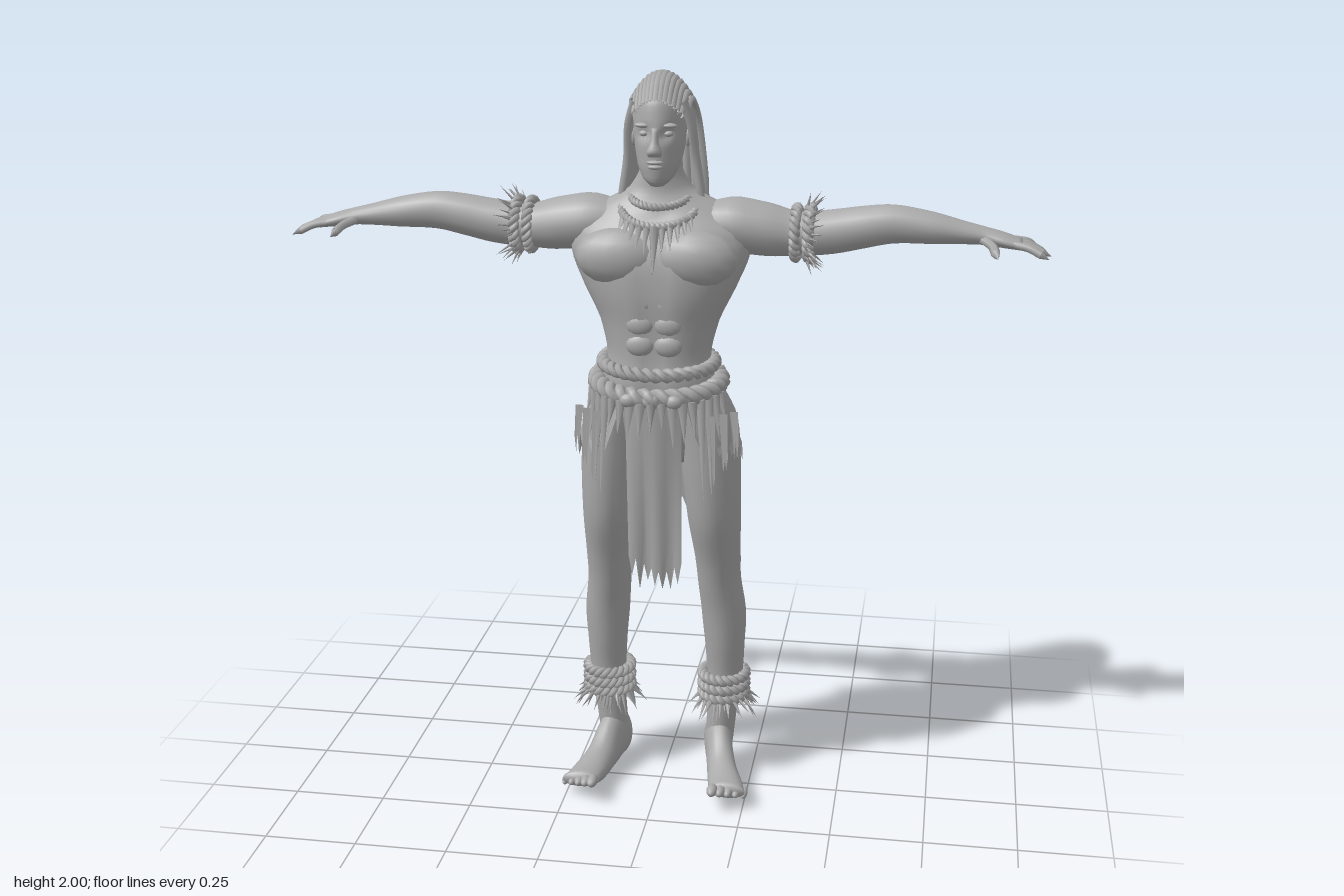
import * as THREE from 'three';
import { mergeGeometries } from 'three/addons/utils/BufferGeometryUtils.js';

const stone = new THREE.MeshStandardMaterial({ color: 0xaaaaaa, side: THREE.DoubleSide });
stone.name = 'stone grey';
const V = (x, y, z) => new THREE.Vector3(x, y, z);

let seed = 7;
const rnd = () => (seed = (seed * 16807) % 2147483647) / 2147483647;

function build(pos, idx) {
  const g = new THREE.BufferGeometry();
  g.setAttribute('position', new THREE.Float32BufferAttribute(pos, 3));
  g.setIndex(idx);
  g.computeVertexNormals();
  return g;
}

// Join pieces, keeping only position and normal
const merge = gs => mergeGeometries(gs.map(g => g.deleteAttribute('uv')));

// Smooth skin over elliptical rings [x, y, z, radius1, radius2] stacked along an axis
function loft(axis, rings, warp, seg = 20, sub = 4) {
  const centre = new THREE.CatmullRomCurve3(rings.map(r => V(r[0], r[1], r[2])));
  const radii = new THREE.CatmullRomCurve3(rings.map(r => V(r[3], r[4], 0)));
  const rows = (rings.length - 1) * sub, pos = [], idx = [], p = V(0, 0, 0);
  for (let i = 0; i <= rows; i++) {
    const c = centre.getPoint(i / rows), r = radii.getPoint(i / rows);
    for (let j = 0; j < seg; j++) {
      const a = j / seg * Math.PI * 2, co = Math.cos(a), si = Math.sin(a);
      if (axis === 'y') p.set(co * r.x, 0, si * r.y);
      else if (axis === 'x') p.set(0, si * r.x, co * r.y);
      else p.set(si * r.x, co * r.y, 0);
      p.add(c);
      if (warp) warp(p);
      pos.push(p.x, p.y, p.z);
      if (i < rows) {
        const q = i * seg + j, n = i * seg + (j + 1) % seg;
        idx.push(q, q + seg, n, n, q + seg, n + seg);
      }
    }
  }
  const a = pos.length / 3, e = rows * seg;
  pos.push(...centre.getPoint(0).toArray(), ...centre.getPoint(1).toArray());
  for (let j = 0; j < seg; j++) idx.push(a, j, (j + 1) % seg, a + 1, e + (j + 1) % seg, e + j);
  return build(pos, idx);
}

const ball = (x, y, z, a, b, c) => new THREE.SphereGeometry(1, 14, 10).scale(a, b, c).translate(x, y, z);
const tube = (pts, r, n = 16, closed = false) =>
  new THREE.TubeGeometry(new THREE.CatmullRomCurve3(pts, closed), n, r, 6, closed);

function spike(base, tip, r) {
  const d = tip.clone().sub(base), len = d.length();
  return new THREE.ConeGeometry(r, len, 5).translate(0, len / 2, 0)
    .applyQuaternion(new THREE.Quaternion().setFromUnitVectors(V(0, 1, 0), d.normalize()))
    .translate(base.x, base.y, base.z);
}

// Tapered lock or finger: a tube closed with a pointed tip
function lock(pts, r, n = 16) {
  const e = pts[pts.length - 1], b = pts[pts.length - 2], d = e.clone().sub(b).normalize();
  return merge([tube(pts, r, n), spike(e, e.clone().addScaledVector(d, r * 2.5), r)]);
}

// Two strands twisted around a closed loop
function rope(at, r, turns, n = 96) {
  return merge([0, Math.PI].map(ph => tube(Array.from({ length: n }, (_, i) => {
    const t = i / n * Math.PI * 2, w = t * turns + ph;
    return at(t, r * 0.7 * Math.cos(w), r * 0.7 * Math.sin(w));
  }), r * 0.75, n * 2, true)));
}

// Torn cloth between a top edge and a ragged bottom edge
function cloth(n, top, bottom, jag) {
  const pos = [], idx = [], rows = 6;
  for (let i = 0; i <= n; i++) {
    const a = top(i / n), b = bottom(i / n);
    b.y += (i % 2 ? -1 : 0.6) * jag * (0.3 + rnd());
    for (let k = 0; k <= rows; k++) {
      const p = a.clone().lerp(b, k / rows);
      pos.push(p.x, p.y, p.z);
      const q = i * (rows + 1) + k;
      if (i < n && k < rows) idx.push(q, q + 1, q + rows + 1, q + 1, q + rows + 2, q + rows + 1);
    }
  }
  return build(pos, idx);
}

function mirrored(g) {
  const m = g.clone().scale(-1, 1, 1), ix = m.index.array;
  for (let i = 0; i < ix.length; i += 3) [ix[i], ix[i + 1]] = [ix[i + 1], ix[i]];
  return m;
}

export function createModel() {
  const model = new THREE.Group();
  const add = (name, ...gs) => {
    const mesh = new THREE.Mesh(merge(gs), stone);
    mesh.name = name;
    model.add(mesh);
  };
  const pair = (name, ...gs) => {
    add('left' + name, ...gs);
    add('right' + name, ...gs.map(mirrored));
  };

  // Torso and neck, with a groove down the middle
  add('torso', loft('y', [
    [0, 0.98, 0, 0.12, 0.09], [0, 1.1, 0.015, 0.165, 0.11], [0, 1.2, 0.03, 0.155, 0.11],
    [0, 1.27, 0.033, 0.138, 0.103], [0, 1.36, 0.025, 0.157, 0.115], [0, 1.45, 0.022, 0.2, 0.125],
    [0, 1.54, 0.015, 0.235, 0.122], [0, 1.6, 0, 0.235, 0.11], [0, 1.655, -0.012, 0.17, 0.082],
    [0, 1.7, -0.008, 0.085, 0.062], [0, 1.75, 0, 0.056, 0.055], [0, 1.82, 0, 0.052, 0.055]
  ], p => { if (p.y < 1.65) p.z *= 1 - 0.1 * Math.exp(-((p.x / 0.025) ** 2)); }, 32));
  pair('Pectoral', ball(0.1, 1.535, 0.09, 0.112, 0.075, 0.06));
  pair('Abdominals', ...[1.31, 1.365, 1.42].map(y => ball(0.037, y, 0.122, 0.037, 0.03, 0.018)));

  // Arms, hands and fingers
  pair('Arm', loft('x', [
    [0.1, 1.62, -0.01, 0.04, 0.06], [0.2, 1.608, -0.012, 0.072, 0.078], [0.28, 1.597, -0.015, 0.069, 0.072],
    [0.36, 1.588, -0.02, 0.057, 0.06], [0.45, 1.597, -0.018, 0.058, 0.056], [0.53, 1.612, -0.015, 0.055, 0.052],
    [0.6, 1.622, -0.012, 0.05, 0.046], [0.7, 1.615, -0.012, 0.041, 0.044], [0.78, 1.605, -0.015, 0.029, 0.037],
    [0.83, 1.598, -0.018, 0.023, 0.035], [0.88, 1.588, -0.02, 0.019, 0.046], [0.925, 1.578, -0.02, 0.013, 0.046]]));
  const fingers = [0.97, 0.975, 0.97, 0.955].map((end, i) => {
    const z = 0.015 - i * 0.024, out = (1.5 - i) * 0.006;
    return lock([V(0.9, 1.584, z), V(0.94, 1.577, z + out), V(end, 1.563, z + out * 2)], 0.01, 8);
  });
  pair('Fingers', ...fingers, lock([V(0.82, 1.594, 0), V(0.85, 1.582, 0.045), V(0.857, 1.572, 0.08)], 0.012, 8));

  // Legs and feet
  pair('Leg', loft('y', [
    [0.152, 0.08, -0.1, 0.04, 0.05], [0.162, 0.2, -0.093, 0.043, 0.052], [0.168, 0.3, -0.093, 0.05, 0.056],
    [0.168, 0.4, -0.085, 0.056, 0.067], [0.165, 0.5, -0.078, 0.062, 0.077], [0.155, 0.6, -0.056, 0.06, 0.078],
    [0.152, 0.68, -0.038, 0.063, 0.083], [0.145, 0.8, -0.01, 0.072, 0.098], [0.137, 0.95, 0.003, 0.08, 0.108],
    [0.125, 1.08, 0.01, 0.083, 0.112], [0.1, 1.18, 0.02, 0.065, 0.1]]));
  const toes = [0, 1, 2, 3, 4].map(i =>
    ball(0.168 + i * 0.021, 0.062 - i * 0.006, 0.168 - i * 0.011, 0.015 - i * 0.0012, 0.015 - i * 0.001, 0.028));
  pair('Foot', loft('z', [
    [0.143, 0.045, -0.152, 0.02, 0.035], [0.148, 0.08, -0.115, 0.042, 0.08], [0.158, 0.08, -0.055, 0.04, 0.08],
    [0.176, 0.052, 0.02, 0.042, 0.05], [0.195, 0.044, 0.09, 0.049, 0.034], [0.207, 0.052, 0.15, 0.05, 0.02]
  ], p => { p.y = Math.max(p.y, 0); }), ...toes);

  // Head and face
  add('head', loft('y', [
    [0, 1.718, 0.065, 0.018, 0.025], [0, 1.735, 0.052, 0.038, 0.05], [0, 1.77, 0.032, 0.055, 0.077],
    [0, 1.82, 0.017, 0.065, 0.093], [0, 1.86, 0.008, 0.069, 0.1], [0, 1.92, -0.003, 0.071, 0.102],
    [0, 1.962, -0.01, 0.056, 0.083], [0, 1.985, -0.012, 0.015, 0.025]
  ], p => { if (p.z > 0.05) p.z -= 0.016 * Math.exp(-(((Math.abs(p.x) - 0.03) / 0.016) ** 2) - ((p.y - 1.852) / 0.014) ** 2); }, 32));
  add('nose', loft('y', [[0, 1.797, 0.108, 0.017, 0.012], [0, 1.81, 0.112, 0.02, 0.019],
    [0, 1.835, 0.108, 0.01, 0.014], [0, 1.868, 0.1, 0.009, 0.01]], null, 10, 3));
  add('lips', ball(0, 1.782, 0.105, 0.022, 0.006, 0.011), ball(0, 1.77, 0.102, 0.02, 0.007, 0.011));
  add('chin', ball(0, 1.738, 0.082, 0.024, 0.018, 0.02));
  pair('EyeAndBrow', ball(0.03, 1.852, 0.083, 0.014, 0.008, 0.011), ball(0.031, 1.873, 0.089, 0.024, 0.007, 0.012));
  pair('Ear', ball(0.07, 1.835, 0, 0.01, 0.027, 0.018));

  // Long locks over the crown and down the back
  const crown = [], sides = [];
  for (let i = 0; i < 15; i++) {
    const u = i / 7 - 1, q = 1 - u * u, w = (rnd() - 0.5) * 0.01;
    crown.push(lock([V(u * 0.066, 1.885 + 0.045 * q, 0.04 + 0.052 * Math.sqrt(q)), V(u * 0.072, 1.925 + 0.056 * q, 0.045 * q),
      V(u * 0.075, 1.915 + 0.067 * q, -0.045), V(u * 0.083, 1.87 + 0.025 * q, -0.075 - 0.037 * q),
      V(u * 0.095 + w, 1.72, -0.092 - 0.037 * q), V(u * 0.11 - w, 1.6, -0.105 - 0.038 * q),
      V(u * 0.115 + w, 1.555 - 0.015 * q + rnd() * 0.035, -0.115 - 0.03 * q)], 0.0115, 30));
  }
  for (let i = 0; i < 7; i++) {
    const t = i / 6, z = 0.035 - t * 0.11, o = t * 0.012;
    sides.push(lock([V(0.062, 1.93, z + 0.015), V(0.08 - o, 1.87, z), V(0.088 - o, 1.78, z - 0.025),
      V(0.102 - o, 1.69, z - 0.03), V(0.115 - o, 1.59 + rnd() * 0.06, z * 0.8 - 0.03)], 0.0105, 20));
  }
  add('crownLocks', ...crown);
  pair('SideLocks', ...sides);

  // Necklaces with teeth
  const collar = (rx, yb, yf, zf) => (t, a, b) =>
    V((rx + a) * Math.cos(t), (yb + yf) / 2 - (yb - yf) / 2 * Math.sin(t) + b, (zf - 0.07) / 2 + ((zf + 0.07) / 2 + a) * Math.sin(t));
  const inner = collar(0.078, 1.71, 1.665, 0.085), outer = collar(0.1, 1.705, 1.62, 0.115);
  add('necklaces', rope(inner, 0.008, 20), rope(outer, 0.009, 24));
  const teeth = [];
  for (let i = -5; i <= 5; i++) {
    const p = outer(Math.PI / 2 + i * 0.2, 0, 0), len = i ? 0.075 - Math.abs(i) * 0.007 : 0.13;
    teeth.push(spike(p, V(p.x * 1.15, p.y - len, p.z + 0.035), i ? 0.011 : 0.015));
  }
  add('necklaceTeeth', ...teeth);

  // Twisted belts and hanging charms
  const waist = (y, rx, rz, tilt) => (t, a, b) => V((rx + a) * Math.cos(t), y - tilt * Math.sin(t) + b, 0.042 + (rz + a) * Math.sin(t));
  const lower = waist(1.2, 0.163, 0.122, 0.02);
  add('belts', rope(waist(1.25, 0.147, 0.11, 0.012), 0.014, 16), rope(lower, 0.019, 14));
  const charms = [];
  for (let i = -8; i <= 8; i++) {
    const p = lower(Math.PI / 2 + i * 0.16, 0.012, -0.012), long = Math.abs(i) === 5 || Math.abs(i) === 6;
    charms.push(spike(p, V(p.x * 1.1, p.y - (long ? 0.27 : 0.06 + rnd() * 0.07), p.z + (long ? 0.03 : 0.015)), long ? 0.013 : 0.015));
  }
  add('beltCharms', ...charms, ...[-0.06, 0, 0.06].map(x => ball(x, 1.175, 0.175, 0.022, 0.018, 0.014)));

  // Loincloth: long front flap, hip skirts and uneven back panels
  add('frontFlap', cloth(14, u => V((u - 0.5) * 0.15, 1.19, 0.158 - 0.02 * (2 * u - 1) ** 2),
    u => V((u - 0.5) * 0.145, 0.66 + 0.1 * (u - 0.65) ** 2, 0.108 + 0.006 * Math.sin(u * 14)), 0.045));
  const hip = (a, y, rx, rz) => V(rx * Math.cos(a), y, 0.02 + rz * Math.sin(a));
  pair('HipSkirt', cloth(20, u => hip(1.1 - 2.5 * u, 1.19, 0.165, 0.125),
    u => hip(1.05 - 2.45 * u, 1.06 - 0.11 * u, 0.222, 0.137), 0.035));
  pair('SkirtTatters', ...[0.14, 0.17, 0.195].map((x, i) =>
    cloth(4, u => V(x + u * 0.022, 1.13, 0.135 - i * 0.025), u => V(x + 0.01 + u * 0.015, 0.95 + i * 0.04, 0.14 - i * 0.025), 0.025)));
  const panel = (x0, x1, y) => cloth(12, u => V(x0 + (x1 - x0) * u, 1.2, -0.1 + 0.6 * (x0 + (x1 - x0) * u) ** 2),
    u => V((x0 + (x1 - x0) * u) * 1.15, y, -0.142), 0.035);
  add('backPanelLong', panel(-0.02, 0.135, 0.8));
  add('backPanelShort', panel(-0.14, 0.01, 0.93));

  // Armbands and anklets with bristling fringes
  const armRing = x => (t, a, b) => V(x + b, 1.59 + (0.063 + a) * Math.cos(t), -0.02 + (0.066 + a) * Math.sin(t));
  const legRing = y => (t, a, b) => V(0.166 + (0.06 + a) * Math.cos(t), y + b, -0.093 + (0.066 + a) * Math.sin(t));
  pair('Armband', rope(armRing(0.35), 0.011, 10, 48), rope(armRing(0.385), 0.012, 10, 48));
  pair('Anklet', ...[0.3, 0.27, 0.242].map(y => rope(legRing(y), 0.012, 10, 48)));
  const armFringe = [], legFringe = [];
  for (let i = 0; i < 44; i++) {
    const t = i / 44 * Math.PI * 2, s = rnd();
    armFringe.push(spike(armRing(0.375)(t, -0.005, 0), armRing(0.385 + s * 0.045)(t + (rnd() - 0.5) * 0.3, 0.025 + rnd() * 0.025, 0), 0.006));
    legFringe.push(spike(legRing(0.245)(t, -0.005, 0), legRing(0.17 + s * 0.045)(t + (rnd() - 0.5) * 0.3, 0.015 + rnd() * 0.035, 0), 0.008));
  }
  pair('ArmFringe', ...armFringe);
  pair('AnkletFringe', ...legFringe);
  return model;
}
